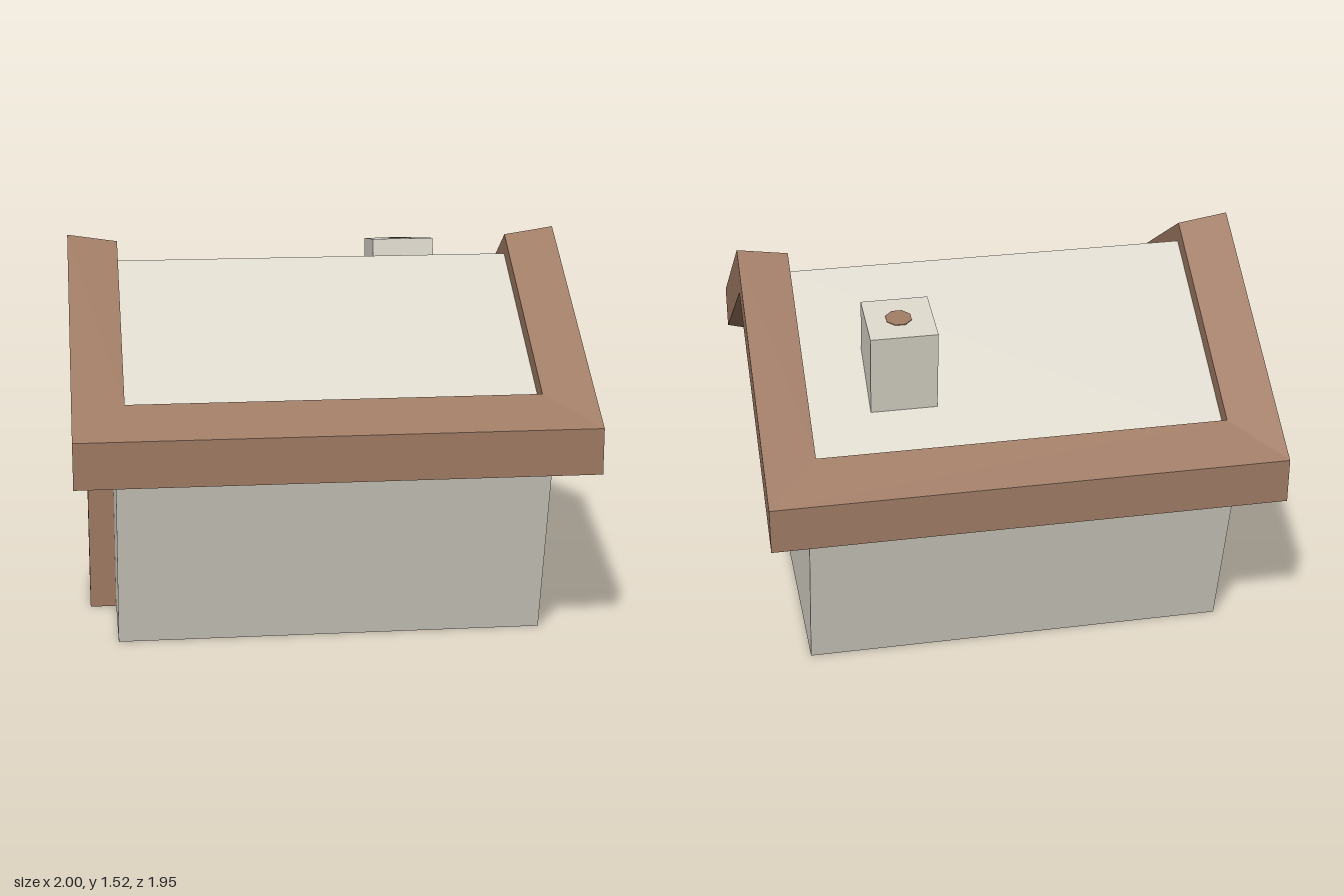
import * as THREE from 'three';

const brown = new THREE.MeshStandardMaterial({ color: 0x9e7a63, side: THREE.DoubleSide, flatShading: true });
brown.name = 'brown wood';
const cream = new THREE.MeshStandardMaterial({ color: 0xdbd7cb, side: THREE.DoubleSide, flatShading: true });
cream.name = 'cream plaster';

// Gable-shaped ring: four eave corners and two ridge points
const ring = (x, z, eave, ridge) => [
  [x, eave, z], [x, ridge, 0], [x, eave, -z],
  [-x, eave, -z], [-x, ridge, 0], [-x, eave, z],
];

// Rings from outside bottom, over the trim, down to the recess and the wall top
const trimBottom = ring(1, 0.975, 0.72, 1.335);
const trimTop = ring(1, 0.975, 0.9, 1.52);
const recessTop = ring(0.8, 0.785, 0.995, 1.49);
const panelEdge = ring(0.8, 0.785, 0.915, 1.41);
const wallTop = ring(0.84, 0.825, 0.75, 1.267);
const wallBottom = ring(0.84, 0.635, 0, 0);

function quads(list) {
  const pos = [];
  for (const [a, b, c, d] of list) pos.push(...a, ...b, ...c, ...a, ...c, ...d);
  const geo = new THREE.BufferGeometry();
  geo.setAttribute('position', new THREE.Float32BufferAttribute(pos, 3));
  geo.computeVertexNormals();
  return geo;
}

function loft(rings) {
  const list = [];
  for (let r = 0; r + 1 < rings.length; r++) {
    const lo = rings[r], hi = rings[r + 1];
    for (let i = 0; i < 6; i++) {
      const j = (i + 1) % 6;
      list.push([lo[i], lo[j], hi[j], hi[i]]);
    }
  }
  return quads(list);
}

export function createModel() {
  const group = new THREE.Group();
  const add = (name, geo, mat) => {
    const mesh = new THREE.Mesh(geo, mat);
    mesh.name = name;
    group.add(mesh);
    return mesh;
  };

  // Flared walls, open underneath
  add('walls', loft([wallBottom, wallTop]), cream);

  // Thick trim around the roof, with soffit and inner lining
  add('roofTrim', loft([trimBottom, trimTop, recessTop, panelEdge, wallTop, trimBottom]), brown);

  // Two sunken roof slopes
  const p = panelEdge;
  add('roofPanels', quads([[p[0], p[1], p[4], p[5]], [p[1], p[2], p[3], p[4]]]), cream);

  // Door box on the right gable, without its wall side and underside
  const doorGeo = new THREE.BoxGeometry(0.105, 0.57, 0.4);
  const index = Array.from(doorGeo.index.array);
  doorGeo.setIndex([...index.slice(6, 18), ...index.slice(24)]);
  add('door', doorGeo, brown).position.set(-0.8925, 0.285, 0);

  // Leaning chimney, cut to the slope of the back roof
  const side = new THREE.Shape([[0.355, 1.422], [0.616, 1.385], [0.568, 1.05], [0.324, 1.205]]
    .map(([x, y]) => new THREE.Vector2(x, y)));
  const chimneyGeo = new THREE.ExtrudeGeometry(side, { depth: 0.26, bevelEnabled: false });
  chimneyGeo.rotateY(Math.PI / 2);
  add('chimney', chimneyGeo, cream).position.x = 0.3;

  // Flue opening on the chimney top
  const flueGeo = new THREE.CylinderGeometry(0.052, 0.052, 0.006, 8);
  flueGeo.rotateY(Math.PI / 8);
  const flue = add('flue', flueGeo, brown);
  flue.position.set(0.433, 1.4035, -0.4855);
  flue.rotation.x = -0.141;

  return group;
}
